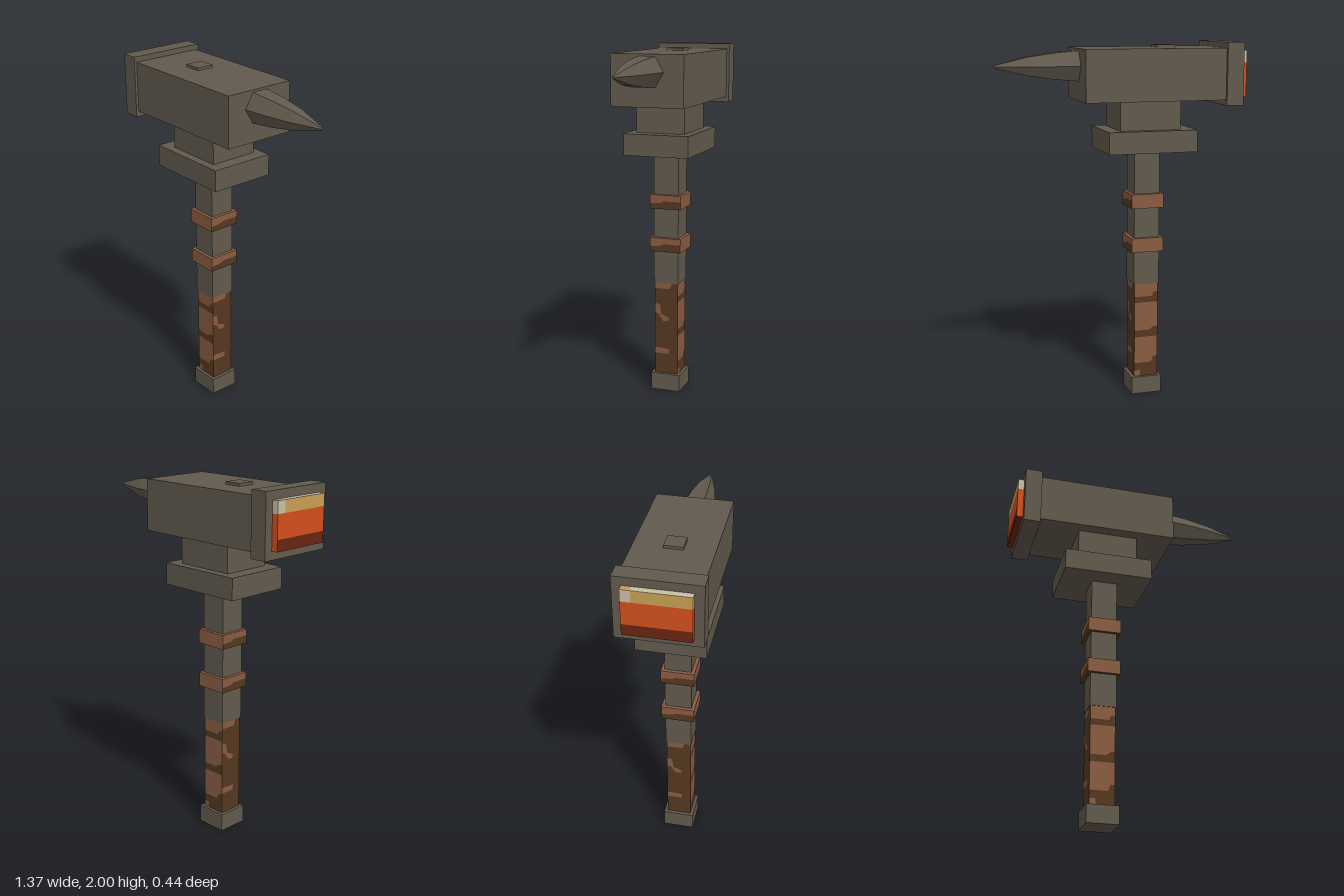
import * as THREE from 'three';

export function createModel() {
  const mat = (name, color) => {
    const m = new THREE.MeshStandardMaterial({ color });
    m.name = name;
    return m;
  };
  const iron = mat('iron', 0x625a4d);
  const leather = mat('leather', 0x8a5c42);
  const darkLeather = mat('darkLeather', 0x553820);
  const orange = mat('orange', 0xd4501e);
  const ember = mat('ember', 0x6a2511);
  const cream = mat('cream', 0xc8c0a4);
  const tan = mat('tan', 0xc99f55);

  const model = new THREE.Group();
  model.name = 'hammer';

  // Box between two corners; an array of materials colours +x -x +y -y +z -z
  const box = (name, [x0, x1], [y0, y1], [z0, z1], material) => {
    const mesh = new THREE.Mesh(new THREE.BoxGeometry(x1 - x0, y1 - y0, z1 - z0), material);
    mesh.position.set((x0 + x1) / 2, (y0 + y1) / 2, (z0 + z1) / 2);
    mesh.name = name;
    model.add(mesh);
  };

  // Thin painted patches on one side of the square handle
  const patches = (name, shapes, turn, half, y, material) => {
    const geometry = new THREE.ShapeGeometry(
      shapes.map((pts) => new THREE.Shape(pts.map(([u, v]) => new THREE.Vector2(u, v)))));
    geometry.translate(0, 0, half + 0.001);
    const mesh = new THREE.Mesh(geometry, material);
    mesh.rotation.y = turn;
    mesh.position.set(-0.148, y, 0);
    mesh.name = name;
    model.add(mesh);
  };

  // Head
  box('head', [-0.56, 0.23], [1.69, 1.97], [-0.205, 0.205], iron);
  box('headCollar', [-0.65, -0.555], [1.66, 2.0], [-0.22, 0.22], iron);
  box('topStud', [-0.31, -0.21], [1.96, 1.985], [-0.05, 0.05], iron);
  box('neck', [-0.318, 0.025], [1.53, 1.69], [-0.14, 0.14], iron);
  box('guard', [-0.4, 0.1], [1.41, 1.53], [-0.187, 0.187], iron);

  // Glowing striking face in coloured bands
  const px = [-0.685, -0.65];
  box('strikingFaceLower', px, [1.705, 1.765], [-0.172, 0.172],
    [orange, ember, orange, ember, orange, orange]);
  box('strikingFaceMiddle', px, [1.765, 1.89], [-0.172, 0.172], orange);
  box('strikingFaceUpper', px, [1.89, 1.955], [-0.12, 0.172],
    [cream, tan, cream, cream, cream, cream]);
  box('strikingFaceCorner', px, [1.89, 1.955], [-0.172, -0.12],
    [cream, cream, tan, cream, cream, cream]);

  // Six-sided curved spike
  const profile = [[0.094, 0], [0.081, 0.13], [0.056, 0.28], [0.007, 0.452], [0, 0.452]]
    .map(([r, h]) => new THREE.Vector2(r, h));
  const spikeGeometry = new THREE.LatheGeometry(profile, 6).toNonIndexed();
  spikeGeometry.computeVertexNormals();
  const spike = new THREE.Mesh(spikeGeometry, iron);
  spike.rotation.z = -Math.PI / 2;
  spike.position.set(0.23, 1.876, 0);
  spike.name = 'spike';
  model.add(spike);

  // Handle
  box('shaft', [-0.221, -0.075], [0.65, 1.41], [-0.073, 0.073], iron);
  box('pommel', [-0.235, -0.06], [0, 0.1], [-0.087, 0.087], iron);
  box('grip', [-0.217, -0.079], [0.1, 0.65], [-0.069, 0.069],
    [darkLeather, darkLeather, leather, darkLeather, leather, leather]);

  // Worn leather pattern on the grip
  const darkBands = [
    [[-0.069, 0.54], [0.069, 0.54], [0.069, 0.6], [0.045, 0.6], [0.035, 0.575], [-0.069, 0.575]],
    [[-0.069, 0.335], [0.069, 0.335], [0.069, 0.395], [0.045, 0.395], [0.02, 0.375], [-0.069, 0.375]],
    [[-0.035, 0.1], [0.069, 0.1], [0.069, 0.215], [0.045, 0.215], [0.03, 0.18], [-0.069, 0.18],
      [-0.069, 0.135], [-0.035, 0.135]],
  ];
  const lightPatches = [
    [[-0.069, 0.615], [0.02, 0.615], [0.035, 0.65], [-0.069, 0.65]],
    [[-0.069, 0.525], [-0.04, 0.52], [-0.03, 0.46], [0, 0.45], [0.02, 0.435], [0.01, 0.42],
      [-0.02, 0.42], [-0.045, 0.46], [-0.069, 0.47]],
    [[-0.069, 0.22], [0.015, 0.22], [0.02, 0.25], [-0.069, 0.255]],
  ];
  for (const turn of [0, Math.PI]) {
    patches('gripDarkBands', darkBands, turn, 0.069, 0, darkLeather);
    patches('gripLightPatches', lightPatches, turn + Math.PI / 2, 0.069, 0, leather);
  }

  // Leather rings, darker along the lower half of their sides
  const ringBand = [[[-0.092, 0], [0.092, 0], [0.092, 0.045], [-0.01, 0.045], [-0.03, 0.035], [-0.092, 0.03]]];
  for (const y of [0.84, 1.09]) {
    box('ring', [-0.24, -0.056], [y, y + 0.08], [-0.092, 0.092],
      [leather, leather, leather, darkLeather, leather, leather]);
    for (const turn of [Math.PI / 2, -Math.PI / 2]) {
      patches('ringDarkBand', ringBand, turn, 0.092, y, darkLeather);
    }
  }

  return model;
}
